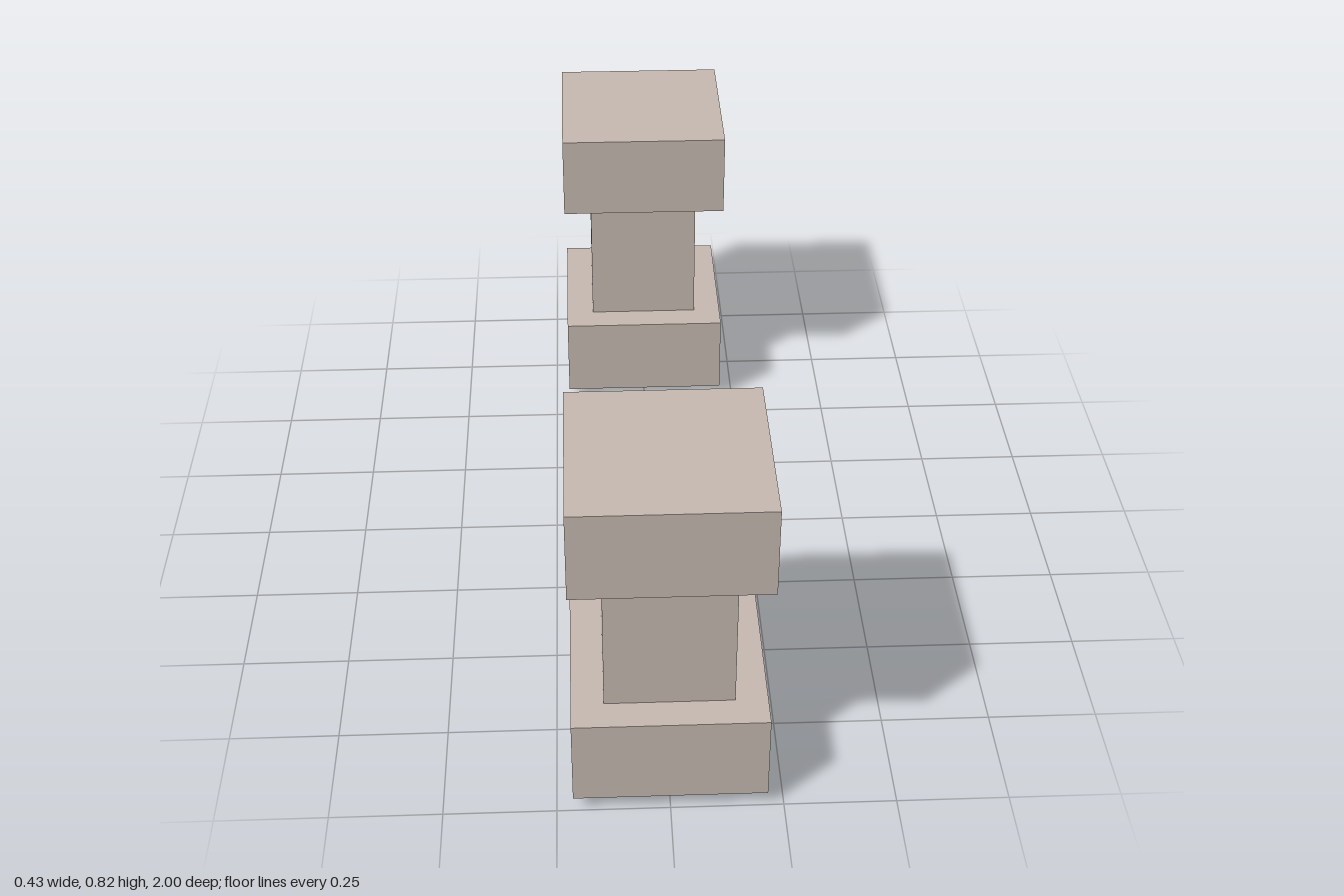
import * as THREE from 'three';

const stone = new THREE.MeshStandardMaterial({ color: 0xc8bab2 });
stone.name = 'warm grey stone';

// Square block of a given width, spanning y0 to y1
function block(name, width, y0, y1) {
  const mesh = new THREE.Mesh(new THREE.BoxGeometry(width, y1 - y0, width), stone);
  mesh.name = name;
  mesh.position.y = (y0 + y1) / 2;
  return mesh;
}

// Narrow shaft running through a wide base and up into a wide cap
function createPillar(name, z) {
  const pillar = new THREE.Group();
  pillar.name = name;
  pillar.add(
    block('shaft', 0.285, 0, 0.65),
    block('base', 0.428, 0.037, 0.25),
    block('cap', 0.428, 0.609, 0.822)
  );
  pillar.position.z = z;
  return pillar;
}

export function createModel() {
  const model = new THREE.Group();
  model.name = 'pillarPair';
  model.add(createPillar('frontPillar', 0.786), createPillar('backPillar', -0.786));
  return model;
}
